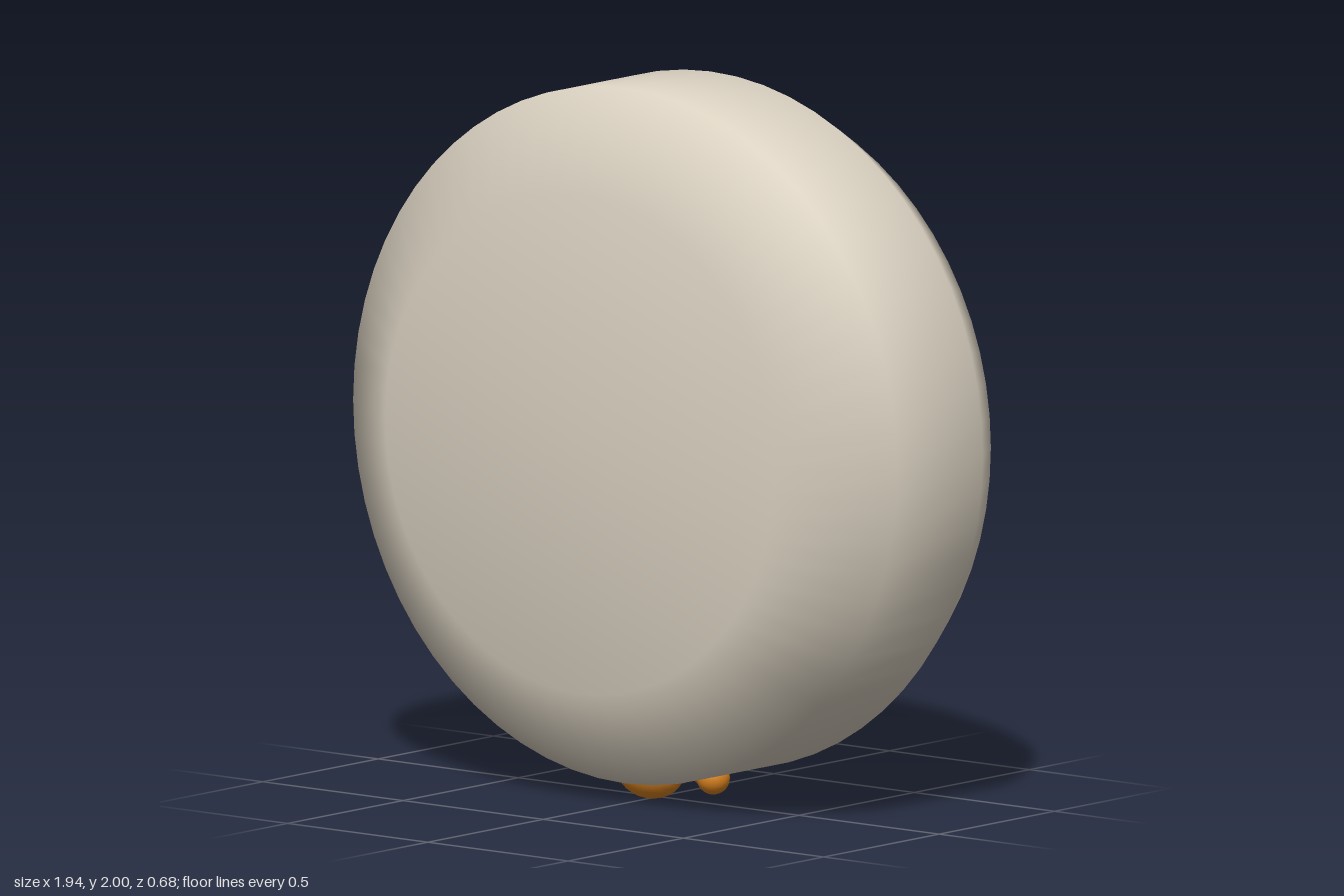
import * as THREE from 'three';

const mat = (name, color, side = THREE.FrontSide) => {
  const m = new THREE.MeshStandardMaterial({ color, side });
  m.name = name;
  return m;
};

export function createModel() {
  const stone = mat('warm grey', 0xd9d0c0, THREE.DoubleSide);
  const teal = mat('teal', 0x66b393);
  const tan = mat('tan', 0xdeb887);
  const orange = mat('orange', 0xd9821f);

  const model = new THREE.Group();
  model.name = 'petBowl';
  const CY = 1.03; // height of the bowl's axis, which runs along z

  const add = (parent, name, geometry, material, x, y, z) => {
    const mesh = new THREE.Mesh(geometry, material);
    mesh.name = name;
    mesh.position.set(x, y, z);
    parent.add(mesh);
    return mesh;
  };

  // Bowl turned on its side, open towards the back: [radius, z]
  const profile = [
    [0, 0.28], [0.62, 0.28], [0.91, 0.1], [0.91, -0.2], [0.81, -0.34],
    [0.905, -0.34], [0.97, -0.225], [0.97, 0.145], [0.695, 0.34], [0, 0.34],
  ].map(([r, z]) => new THREE.Vector2(r, z));
  add(model, 'bowl', new THREE.LatheGeometry(profile, 64).rotateX(Math.PI / 2), stone, 0, CY, 0);

  // Disc of filling with a bevelled edge
  const disc = new THREE.CylinderGeometry(0.8, 0.78, 0.05, 64).rotateX(Math.PI / 2);
  add(model, 'filling', disc, teal, 0, CY, 0.1);

  // Oval food pieces, placed on the filling: [x, y from the axis]
  const pieces = [
    [0.32, 0.52], [-0.01, 0.545], [0.39, 0.32], [0.13, 0.405], [-0.07, 0.315],
    [-0.265, 0.39], [0.58, 0.06], [0.345, 0.12], [0.15, 0.195], [-0.475, 0.35],
    [0.45, -0.105], [0.125, 0], [-0.125, 0.115], [-0.36, 0.15], [0.25, -0.165],
    [-0.27, -0.04], [-0.52, 0.03], [0.02, -0.215], [0.37, -0.385], [0.17, -0.375],
    [-0.16, -0.31], [-0.385, -0.22], [0.115, -0.585], [-0.065, -0.49], [-0.37, -0.425],
  ];
  const food = new THREE.Group();
  food.name = 'food';
  model.add(food);
  const pieceGeometry = new THREE.SphereGeometry(1, 24, 16).scale(0.1, 0.12, 0.06);
  for (const [x, y] of pieces) add(food, 'foodPiece', pieceGeometry, tan, x, CY + y, -0.036);

  // Paw print under the bowl: one broad pad and four toes
  const paw = new THREE.Group();
  paw.name = 'pawPrint';
  model.add(paw);
  const ball = new THREE.SphereGeometry(1, 24, 16);
  add(paw, 'pawPad', ball, orange, 0, 0.088, 0.035).scale.set(0.11, 0.083, 0.07);
  for (const side of [-1, 1]) {
    add(paw, 'outerToe', ball, orange, side * 0.135, 0.062, -0.073).scale.setScalar(0.046);
    add(paw, 'innerToe', ball, orange, side * 0.052, 0.062, -0.152).scale.setScalar(0.046);
  }
  return model;
}
